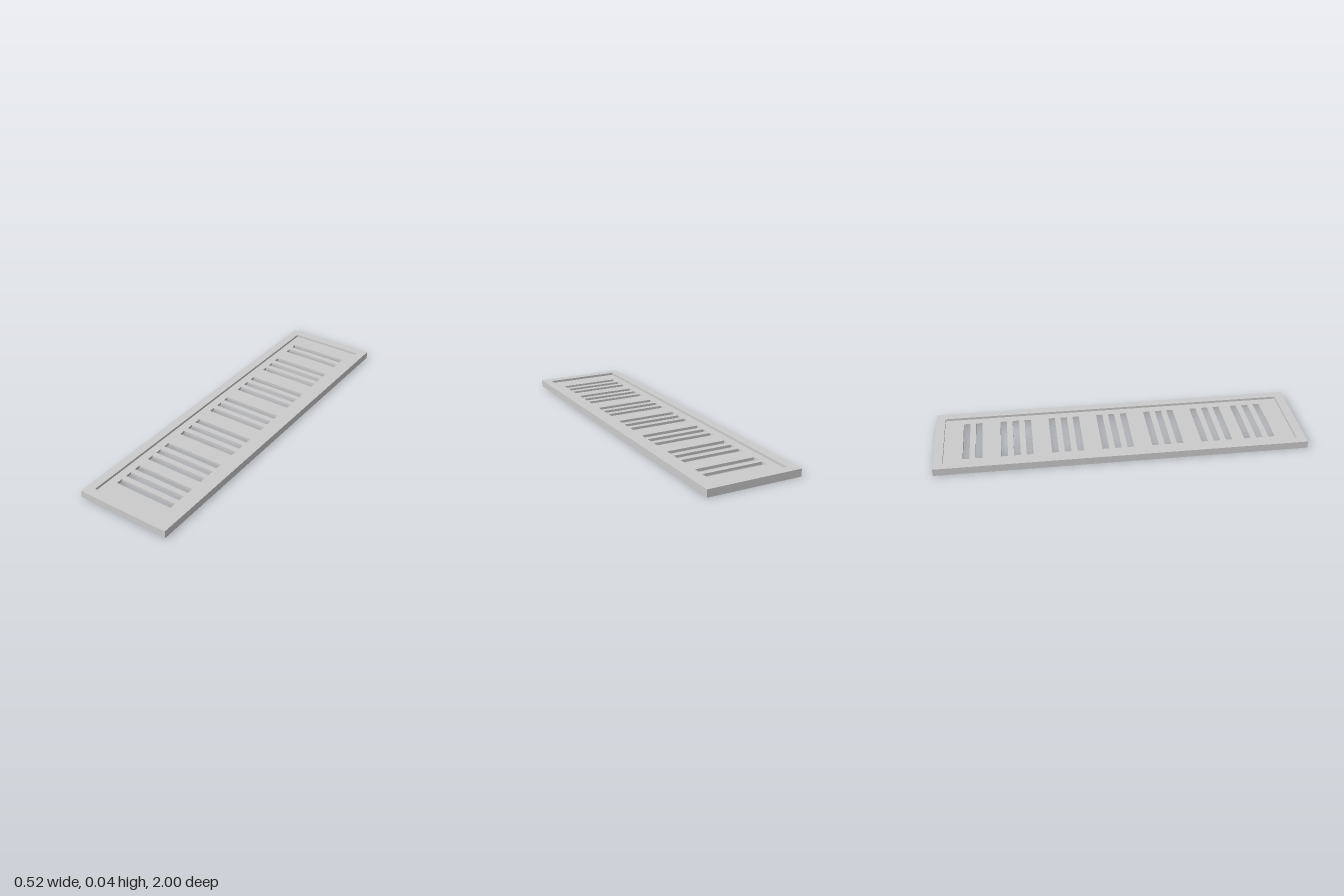
import * as THREE from 'three';

const HALF_W = 0.26, HALF_L = 1, HEIGHT = 0.04;
const INNER_W = 0.213, INNER_L = 0.95;
const PANEL_Y = 0.013, PANEL_T = 0.014;
const SLOT_HALF_W = 0.168, SLOT_HALF_D = 0.018, PITCH = 0.0675;

// Trace a rectangle centred on x, with its middle at z
function rect(path, halfW, halfD, z = 0) {
  path.moveTo(-halfW, -z - halfD);
  path.lineTo(halfW, -z - halfD);
  path.lineTo(halfW, -z + halfD);
  path.lineTo(-halfW, -z + halfD);
  path.closePath();
  return path;
}

// Extrude a plan outline upwards from height y
function slab(name, shape, y, thickness, material) {
  const geometry = new THREE.ExtrudeGeometry(shape, { depth: thickness, bevelEnabled: false });
  geometry.rotateX(-Math.PI / 2);
  geometry.translate(0, y, 0);
  const mesh = new THREE.Mesh(geometry, material);
  mesh.name = name;
  return mesh;
}

export function createModel() {
  const group = new THREE.Group();
  group.name = 'ventGrille';
  const material = new THREE.MeshStandardMaterial({ color: 0xcccccc });

  // Raised rectangular border
  const frame = rect(new THREE.Shape(), HALF_W, HALF_L);
  frame.holes.push(rect(new THREE.Path(), INNER_W, INNER_L));
  group.add(slab('frame', frame, 0, HEIGHT, material));

  // Slot positions: a pair, five groups of three, then a closer last three
  const slots = [];
  for (let i = 0; i < 22; i++) if (i % 4 !== 2) slots.push(-0.83 + i * PITCH);
  for (let i = 0; i < 3; i++) slots.push(0.69 + i * PITCH);

  // Thin slotted panel, recessed from both faces of the border
  const panel = rect(new THREE.Shape(), INNER_W, INNER_L);
  for (const z of slots) panel.holes.push(rect(new THREE.Path(), SLOT_HALF_W, SLOT_HALF_D, z));
  group.add(slab('slottedPanel', panel, PANEL_Y, PANEL_T, material));

  return group;
}
